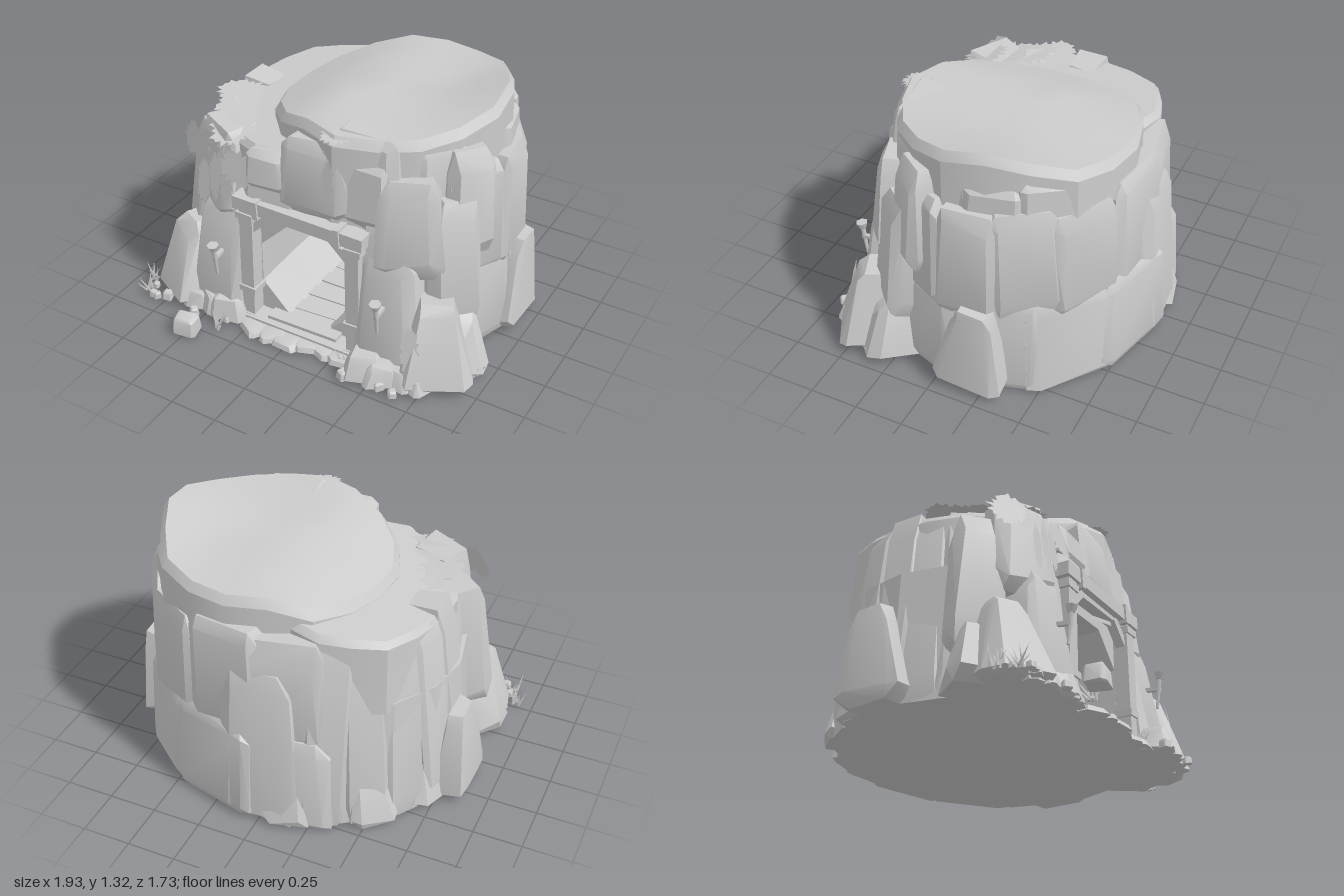
import * as THREE from 'three';
import { toCreasedNormals } from 'three/addons/utils/BufferGeometryUtils.js';
import { ConvexGeometry } from 'three/addons/geometries/ConvexGeometry.js';

const mat = new THREE.MeshStandardMaterial({ color: 0xcccccc });
const thin = new THREE.MeshStandardMaterial({ color: 0xcccccc, side: THREE.DoubleSide });
const flat = new THREE.MeshStandardMaterial({ color: 0xcccccc, side: THREE.DoubleSide, flatShading: true });

let seed = 7;
const rnd = () => (seed = (seed * 16807) % 2147483647) / 2147483647;
const jit = (a) => (rnd() - 0.5) * 2 * a;
const rad = THREE.MathUtils.degToRad;

export function createModel() {
  const root = new THREE.Group();
  const add = (name, geo, material = mat, parent = root) => {
    const m = new THREE.Mesh(geo, material);
    m.name = name;
    parent.add(m);
    return m;
  };
  const box = (name, x, y, z, w, h, d, rz = 0, parent = root) => {
    const m = add(name, new THREE.BoxGeometry(w, h, d), mat, parent);
    m.position.set(x, y, z);
    m.rotation.z = rz;
    return m;
  };

  // Chamfered, jittered block narrowing to the top: three hull points per corner, cut off at the ground
  const boulder = (name, [x, y, z, w, h, d], ry = 0, tilt = 0, taper = 0.12, rough = 0.15) => {
    const m4 = new THREE.Matrix4().makeRotationFromEuler(new THREE.Euler(tilt, ry, jit(0.05), 'YXZ')).setPosition(x, y, z);
    const pts = [];
    for (const sx of [-1, 1]) for (const sy of [-1, 1]) for (const sz of [-1, 1]) for (let k = 0; k < 3; k++) {
      const c = [0, 1, 2].map((i) => 0.5 - (i === k ? 0 : 0.08 + rnd() * rough));
      const t = sy > 0 ? 1 - taper : 1;
      const p = new THREE.Vector3(sx * c[0] * w * t, sy * c[1] * h, sz * c[2] * d * t).applyMatrix4(m4);
      p.y = Math.max(p.y, 0);
      pts.push(p);
    }
    return add(name, toCreasedNormals(new ConvexGeometry(pts), 0.5));
  };

  // Uneven oval block whose top follows a height rule
  const mass = (name, cx, cz, rx, rz, bottom, top) => {
    const profile = [[1.03, 0], [1.01, 0.5], [1, 0.92], [0.95, 1], [0.7, 1], [0.4, 1], [0, 1]].map((p) => new THREE.Vector2(...p));
    const geo = new THREE.LatheGeometry(profile, 18);
    const p = geo.attributes.position;
    for (let i = 0; i < p.count; i++) {
      const a = Math.atan2(p.getX(i), p.getZ(i));
      const k = 1 + 0.02 * Math.sin(5 * a + 1) + 0.015 * Math.cos(8 * a);
      const x = cx + rx * k * p.getX(i), z = cz + rz * k * p.getZ(i);
      p.setXYZ(i, x, THREE.MathUtils.lerp(bottom, top(x, z), p.getY(i)), z);
    }
    add(name, toCreasedNormals(geo, 0.5));
  };

  // Lower rock core: an oval plan, notched at the front for the tunnel
  const plan = [];
  for (let a = 50; a <= 310; a += 20) plan.push(new THREE.Vector2(0.02 + 0.82 * Math.sin(rad(a)), 0.1 - 0.71 * Math.cos(rad(a))));
  for (const [x, z] of [[-0.33, 0.46], [-0.33, -0.44], [0.4, -0.44], [0.4, 0.46]]) plan.push(new THREE.Vector2(x, -z));
  const core = new THREE.ExtrudeGeometry(new THREE.Shape(plan), { depth: 0.68, steps: 3, bevelEnabled: false }).rotateX(-Math.PI / 2);
  const cp = core.attributes.position;
  for (let i = 0; i < cp.count; i++) {
    const k = 1 - 0.08 * cp.getY(i);
    cp.setX(i, cp.getX(i) * k);
    cp.setZ(i, cp.getZ(i) * k);
  }
  core.computeVertexNormals();
  add('rockCore', core);

  // Upper masses: tall cap falling away to the left with a peak on the right, and a lower shelf on the left
  mass('rockCap', 0.2, -0.12, 0.59, 0.6, 0.64, (x, z) =>
    1.21 - 0.37 * Math.max(0, -x) + 0.36 * Math.max(0, x - 0.45) * Math.max(0, 1 - 1.6 * Math.abs(z + 0.25)) - 0.05 * Math.max(0, -0.3 - z));
  mass('rockShelf', -0.25, -0.1, 0.44, 0.57, 0.64, (x, z) => 1.02 - 0.04 * z + 0.1 * (x + 0.45));

  // Courses of slabs: low and middle on the right and back, cap edge, tall ones on the left
  // [count, from, to, cx, cz, rx, rz, y0, y1, depth, tilt]
  [
    [5, 60, 205, 0.02, -0.1, 0.75, 0.63, -0.04, 0.52, 0.22, -0.05],
    [6, 56, 205, 0.06, -0.12, 0.69, 0.54, 0.43, 1.03, 0.24, -0.03],
    [5, 40, 165, 0.2, -0.12, 0.49, 0.49, 0.85, 1.15, 0.22, -0.04],
    [7, 198, 304, 0, -0.11, 0.65, 0.57, -0.04, 1.01, 0.22, -0.12],
  ].forEach(([n, a0, a1, cx, cz, rx, rz, y0, y1, d, tilt], row) => {
    const step = (a1 - a0) / n;
    for (let i = 0; i < n; i++) {
      const a = rad(a0 + (i + 0.5) * step + jit(2));
      const w = rad(step) * Math.hypot(rx * Math.cos(a), rz * Math.sin(a)) * 1.36;
      boulder('rockCourse' + (row + 1),
        [cx + rx * Math.sin(a), (y0 + y1) / 2 + jit(0.02), cz + rz * Math.cos(a), w, y1 - y0 + jit(0.03), d + jit(0.02)],
        Math.atan2(Math.sin(a) / rx, Math.cos(a) / rz), tilt, 0.05, 0.08);
    }
  });
  boulder('backRock', [0.02, 0.4, -0.73, 0.42, 0.9, 0.22], 0, 0.05);

  // Low rocks leaning on the left and back: angles from the front
  for (const a of [190, 222, 248]) {
    boulder('leaningRock', [0.72 * Math.sin(rad(a)), 0.14, -0.1 + 0.66 * Math.cos(rad(a)), 0.24, 0.34, 0.2], rad(a), -0.1, 0.4);
  }

  // Front slabs and foot boulders on both sides of the tunnel: [x, y, z, w, h, d, turn, taper]
  for (const s of [-1, 1]) {
    [[0.48, 0.3, 0.43, 0.34, 0.68, 0.3, 0.1, 0.25], [0.38, 0.4, 0.44, 0.14, 0.76, 0.18, 0, 0.05],
      [0.51, 0.77, 0.35, 0.34, 0.52, 0.27, 0.4, 0.15], [0.66, 0.56, 0.23, 0.28, 0.7, 0.3, 0.8, 0.15],
      [0.69, 0.2, 0.4, 0.36, 0.46, 0.42, 0.5, 0.42], [0.74, 0.15, 0.29, 0.28, 0.34, 0.36, 0.8, 0.4],
      [0.84, 0.24, -0.19, 0.18, 0.52, 0.36, 0, 0.4],
    ].forEach(([x, y, z, w, h, d, ry, t]) => boulder('frontRock', [0.03 + s * x, y, z, w, h, d], s * ry, -0.07, t));
    // Stones lying at the foot, smaller further out
    for (let i = 0; i < 4; i++) {
      const r = 0.22 - 0.03 * i;
      boulder('footStone', [0.03 + s * (0.42 + 0.09 * i), r * 0.28, 0.59 + jit(0.05), r, r * 0.65, r * 0.85], jit(0.6), 0, 0.3);
    }
  }
  boulder('looseStone', [-0.5, 0.045, 0.79, 0.13, 0.1, 0.11], 0.2);
  boulder('sideRock', [0.7, 0.86, 0.13, 0.26, 0.56, 0.28], 0.9, -0.06);

  // Blocks over the tunnel mouth: [x, y, z, w, h]
  [[-0.17, 0.91, 0.42, 0.26, 0.2], [-0.14, 0.8, 0.42, 0.34, 0.18], [0.1, 0.94, 0.41, 0.4, 0.4],
    [0.35, 0.92, 0.38, 0.26, 0.36], [0.32, 1.08, 0.34, 0.38, 0.26],
  ].forEach((b) => boulder('lintelRock', [...b, 0.22], 0.05, -0.06));

  // Wall around the tunnel mouth with an eight-sided hole
  const wall = new THREE.Shape([[-0.4, 0], [0.46, 0], [0.46, 0.8], [-0.4, 0.8]].map((p) => new THREE.Vector2(...p)));
  const mouth = [];
  for (let i = 0; i < 8; i++) {
    const a = (i + 0.5) * Math.PI / 4;
    mouth.push(new THREE.Vector2(0.04 + 0.295 * Math.cos(a), 0.33 + 0.305 * Math.sin(a)));
  }
  wall.holes.push(new THREE.Path(mouth));
  add('portalWall', new THREE.ExtrudeGeometry(wall, { depth: 0.08, bevelEnabled: false })).position.z = 0.39;

  // Tunnel lining that closes to a rounded end, with planks on its floor
  const bore = [[0.001, -0.42], [0.14, -0.4], [0.24, -0.3], [0.29, -0.1], [0.3, 0.15], [0.295, 0.46]].map((p) => new THREE.Vector2(...p));
  const lining = add('tunnel', new THREE.LatheGeometry(bore, 8, Math.PI / 8).rotateX(Math.PI / 2), flat);
  lining.position.set(0.04, 0.33, 0);
  box('tunnelFloor', 0.035, 0.022, 0.06, 0.76, 0.044, 1.04);
  for (let i = 0; i < 6; i++) {
    box('floorPlank', 0.04 + jit(0.01), 0.052, 0.5 - i * 0.13, 0.4, 0.02, 0.08).rotation.y = jit(0.08);
    boulder('doorstepStone', [-0.2 + i * 0.1, 0.012, 0.58 + jit(0.03), 0.15, 0.04, 0.16], jit(0.6));
  }

  // Timber frame with bands, beam and corner braces
  const frame = new THREE.Group();
  frame.name = 'timberFrame';
  frame.position.z = -0.015;
  root.add(frame);
  for (const s of [-1, 1]) {
    const x = 0.035 + s * 0.305;
    box('post', x, 0.35, 0.53, 0.075, 0.68, 0.08, s * 0.015, frame);
    for (const y of [0.03, 0.2, 0.65]) box('postBand', x, y, 0.53, 0.095, 0.035, 0.1, s * 0.04, frame);
    box('brace', 0.035 + s * 0.23, 0.62, 0.53, 0.04, 0.17, 0.05, s * 0.8, frame);
    box('beamBand', 0.035 + s * 0.23, 0.717, 0.54, 0.03, 0.1, 0.11, 0.06, frame);
  }
  box('beam', 0.035, 0.72, 0.54, 0.73, 0.07, 0.09, -0.012, frame);
  box('innerBeam', 0.035, 0.675, 0.52, 0.6, 0.03, 0.06, 0.01, frame);

  // Wall torches
  for (const x of [-0.42, 0.51]) {
    const torch = new THREE.Group();
    torch.name = 'torch';
    torch.position.set(x, 0.3, 0.61);
    torch.rotation.x = 0.12;
    root.add(torch);
    add('handle', new THREE.CylinderGeometry(0.014, 0.008, 0.17, 6), mat, torch).position.y = 0.06;
    add('bowl', new THREE.CylinderGeometry(0.032, 0.018, 0.035, 6), mat, torch).position.y = 0.15;
    box('bracket', 0, 0.08, -0.03, 0.02, 0.02, 0.08, 0, torch);
  }

  // Ragged ivy leaves: a mat over the shelf edge, strands hanging below it, one vine over the door
  const leaf = (x, y, z, w, h, pitch, turn = 0) => {
    const pts = [];
    for (let i = 0; i < 34; i++) {
      const a = i / 34 * Math.PI * 2, r = (i % 2 ? 0.38 : 0.48) + jit(0.07);
      pts.push(new THREE.Vector2(r * Math.cos(a), r * Math.sin(a)));
    }
    const m = add('ivy', new THREE.ShapeGeometry(new THREE.Shape(pts)), thin);
    m.scale.set(w, h, 1);
    m.position.set(x, y, z);
    m.rotation.set(pitch, turn, 0, 'YXZ');
  };
  for (let i = 0; i < 4; i++) {
    leaf(-0.61 + 0.06 * i, 1.02, 0.06 + 0.11 * i, 0.26, 0.26, -1.5 + 0.08 * i);
    leaf(-0.65 + 0.11 * i, 0.92 - 0.01 * i, 0.43 + 0.03 * i, 0.22, 0.2, -0.2, -0.6 + 0.2 * i);
  }
  for (let i = 0; i < 3; i++) {
    leaf(-0.53 + 0.07 * i, 0.78 + jit(0.03), 0.52, 0.08, 0.28, -0.1);
    leaf(0.195, 1.2 - 0.1 * i, 0.44 + 0.045 * i, 0.17 - 0.05 * i, 0.17 + 0.03 * i, i ? -0.1 : -1.4);
  }
  leaf(0.62, 0.7, 0.43, 0.1, 0.24, -0.1, 0.6);
  leaf(0.68, 0.22, 0.6, 0.1, 0.3, -0.2, 0.3);

  // Grass tufts and scattered pebbles at the foot
  for (const [x, z] of [[-0.91, 0.53], [-0.87, 0.61], [-0.38, 0.7], [0.33, 0.6], [0.72, 0.58], [0.93, 0.36]]) {
    for (let i = 0; i < 7; i++) {
      const blade = add('grass', new THREE.ConeGeometry(0.009, 0.1, 3).translate(0, 0.05, 0));
      blade.position.set(x + jit(0.02), 0, z + jit(0.02));
      blade.rotation.set(jit(0.7), 0, jit(0.7));
    }
  }
  for (let i = 0; i < 26; i++) {
    const s = i % 2 ? 1 : -1, r = 0.025 + rnd() * 0.03;
    boulder('pebble', [s * (0.36 + rnd() * 0.5), r * 0.4, 0.62 + jit(0.08), r, r, r], jit(3));
  }
  return root;
}
